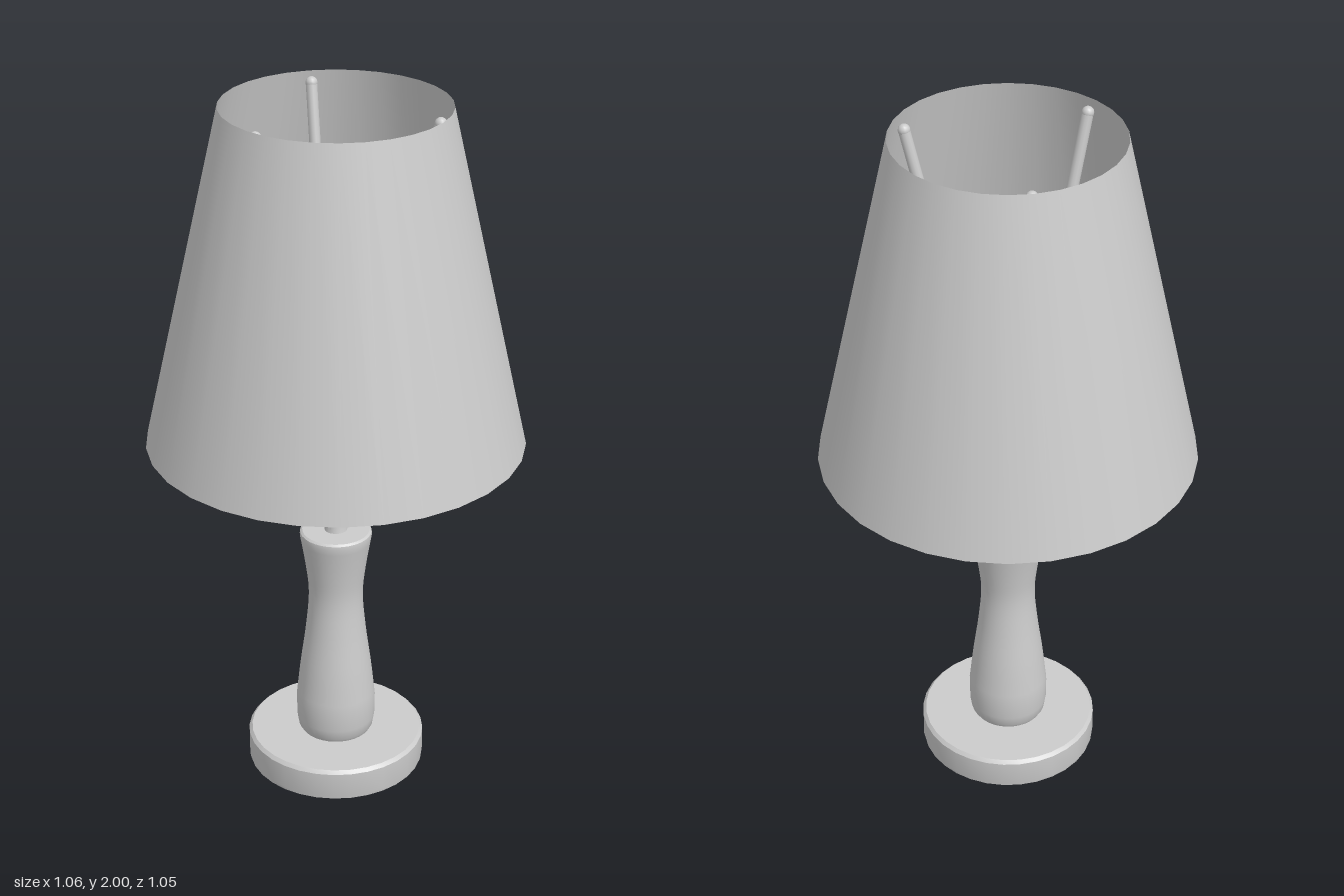
import * as THREE from 'three';
import { toCreasedNormals } from 'three/addons/utils/BufferGeometryUtils.js';

const grey = new THREE.MeshStandardMaterial({ color: 0xcccccc });
const greyThin = new THREE.MeshStandardMaterial({ color: 0xcccccc, side: THREE.DoubleSide });

// Turned part from [radius, height] pairs, listed from the bottom up
function turned(name, profile, sides, material = grey) {
  const points = profile.map(([r, y]) => new THREE.Vector2(r, y));
  const geometry = toCreasedNormals(new THREE.LatheGeometry(points, sides, Math.PI / 2), 0.6);
  const mesh = new THREE.Mesh(geometry, material);
  mesh.name = name;
  return mesh;
}

export function createModel() {
  const lamp = new THREE.Group();
  lamp.name = 'tableLamp';

  // Round foot with a small bevel
  lamp.add(turned('base', [[0, 0], [0.255, 0], [0.257, 0.01], [0.257, 0.083], [0.248, 0.093], [0, 0.093]], 32));

  // Waisted body
  const waist = new THREE.SplineCurve([
    [0.115, 0.2], [0.103, 0.31], [0.087, 0.43], [0.078, 0.54], [0.086, 0.63], [0.103, 0.735],
  ].map(([r, y]) => new THREE.Vector2(r, y))).getPoints(20).map((p) => [p.x, p.y]);
  lamp.add(turned('body', [[0.1, 0.09], [0.109, 0.105], [0.114, 0.135], ...waist, [0.102, 0.745], [0.096, 0.75], [0, 0.75]], 32));

  // Thin stem, then the collar and cup that carry the shade
  lamp.add(turned('stem', [[0.034, 0.745], [0.028, 0.77], [0.028, 1.15]], 20));
  lamp.add(turned('socket', [
    [0.026, 1.11], [0.036, 1.115], [0.036, 1.165], [0.03, 1.175], [0.045, 1.195],
    [0.066, 1.215], [0.068, 1.235], [0.05, 1.245], [0, 1.245],
  ], 24));

  // Ball on top of the socket
  const ball = new THREE.Mesh(new THREE.SphereGeometry(0.052, 24, 16), grey);
  ball.name = 'ball';
  ball.position.y = 1.26;
  lamp.add(ball);

  // Three bent arms reaching up to the rim of the shade
  const path = new THREE.CurvePath();
  const v = (x, y) => new THREE.Vector3(x, y, 0);
  path.add(new THREE.LineCurve3(v(0.02, 1.205), v(0.06, 1.205)));
  path.add(new THREE.QuadraticBezierCurve3(v(0.06, 1.205), v(0.088, 1.205), v(0.098, 1.245)));
  path.add(new THREE.LineCurve3(v(0.098, 1.245), v(0.281, 1.975)));
  const tube = new THREE.TubeGeometry(path, 60, 0.016, 12);
  const tip = new THREE.SphereGeometry(0.017, 12, 8).translate(0.281, 1.975, 0);
  for (let i = 0; i < 3; i++) {
    const arm = new THREE.Group();
    arm.name = 'shadeArm' + (i + 1);
    arm.add(new THREE.Mesh(tube, grey), new THREE.Mesh(tip, grey));
    arm.children[0].name = 'armRod';
    arm.children[1].name = 'armTip';
    arm.rotation.y = Math.PI + (i * Math.PI * 2) / 3;
    lamp.add(arm);
  }

  // Open tapered shade
  lamp.add(turned('shade', [[0.528, 1.04], [0.31, 2]], 30, greyThin));

  return lamp;
}
